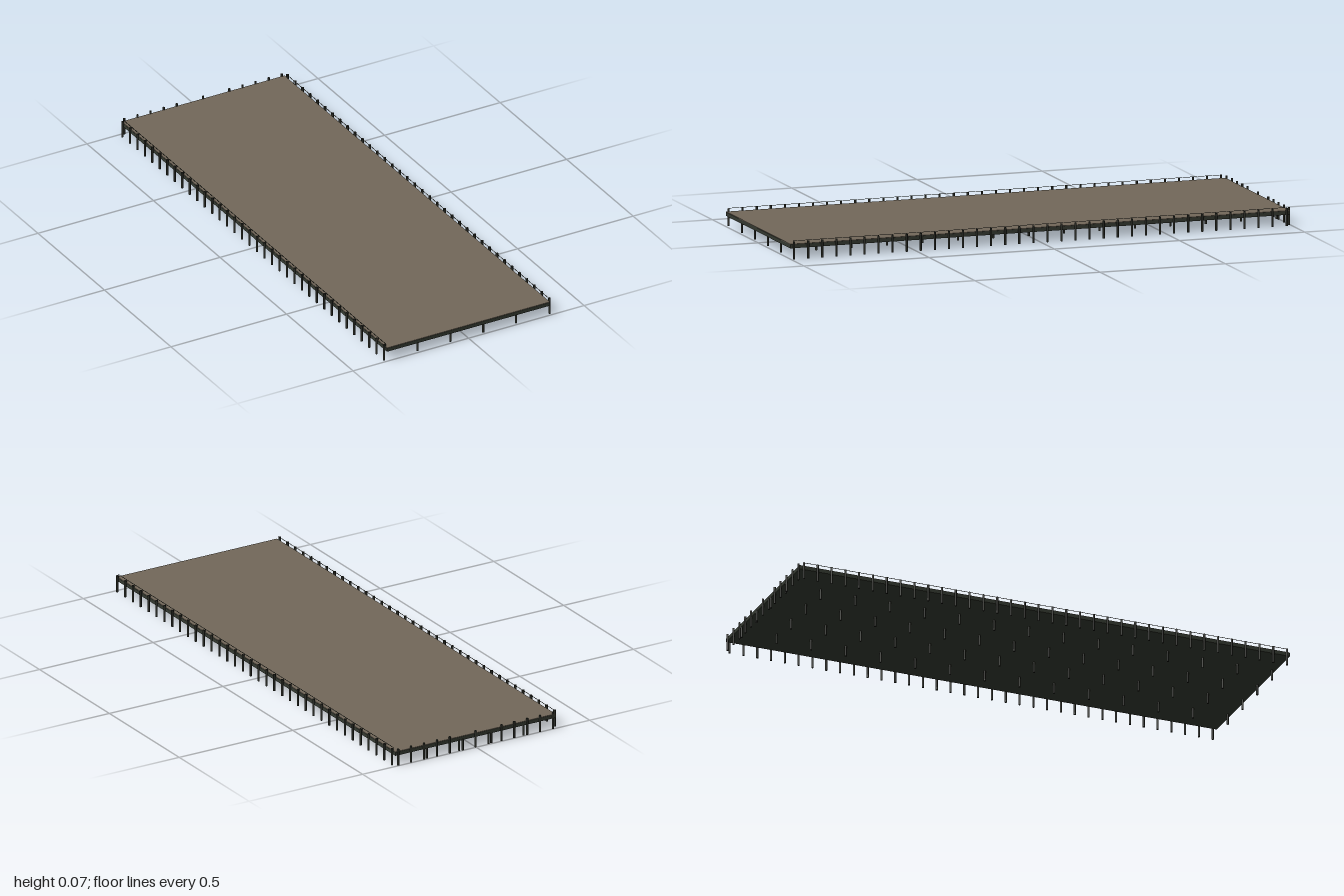
import * as THREE from 'three';

const mat = (name, color, side = THREE.FrontSide) => {
  const m = new THREE.MeshStandardMaterial({ color, side });
  m.name = name;
  return m;
};

export function createModel() {
  const planks = mat('weatheredPlanks', 0x72685a);
  const timber = mat('darkTimber', 0x343930);
  const pileWood = mat('pileWood', 0x2c2e27);

  const pier = new THREE.Group();
  pier.name = 'pier';

  const box = (name, m, w, h, d, x, y, z, parent = pier) => {
    const mesh = new THREE.Mesh(new THREE.BoxGeometry(w, h, d), m);
    mesh.name = name;
    mesh.position.set(x, y, z);
    parent.add(mesh);
    return mesh;
  };

  // Deck: dark frame with a thin walking surface
  box('deckFrame', timber, 0.706, 0.014, 1.996, 0, 0.048, 0.002);
  box('deckSurface', planks, 0.704, 0.002, 1.994, 0, 0.056, 0.002);

  const piles = new THREE.Group();
  piles.name = 'piles';
  pier.add(piles);
  const pile = (name, x, z, height) => {
    const mesh = new THREE.Mesh(new THREE.CylinderGeometry(0.0043, 0.0043, height, 8), pileWood);
    mesh.name = name;
    mesh.position.set(x, height / 2, z);
    piles.add(mesh);
  };

  // Mooring piles along both long sides
  const sideCount = 36, zFirst = 0.987, zStep = 0.0562;
  for (const s of [-1, 1]) {
    for (let i = 0; i < sideCount; i++) {
      pile('sidePile', s * 0.358, zFirst - i * zStep, 0.067);
    }
  }

  // Piles across the back end, with two low ones near the middle
  for (let i = -6; i <= 6; i++) {
    pile('backPile', i * 0.0568, -0.9957, Math.abs(i) === 1 ? 0.045 : 0.067);
  }

  // Supporting piles in a grid under the deck
  for (let row = 0; row < 15; row++) {
    for (const x of [-0.213, -0.071, 0.071, 0.213]) {
      pile('supportPile', x, 0.987 - row * 0.1414, 0.045);
    }
  }

  // Slim edge rails on short stakes
  for (const s of [-1, 1]) {
    const rail = new THREE.Group();
    rail.name = s > 0 ? 'leftRail' : 'rightRail';
    pier.add(rail);
    box('railBar', pileWood, 0.0015, 0.0015, 1.97, s * 0.352, 0.0692, 0.004, rail);
    for (let i = 0; i < sideCount; i++) {
      box('railStake', pileWood, 0.0015, 0.014, 0.0015, s * 0.352, 0.063, zFirst - i * zStep, rail);
    }
  }

  return pier;
}
